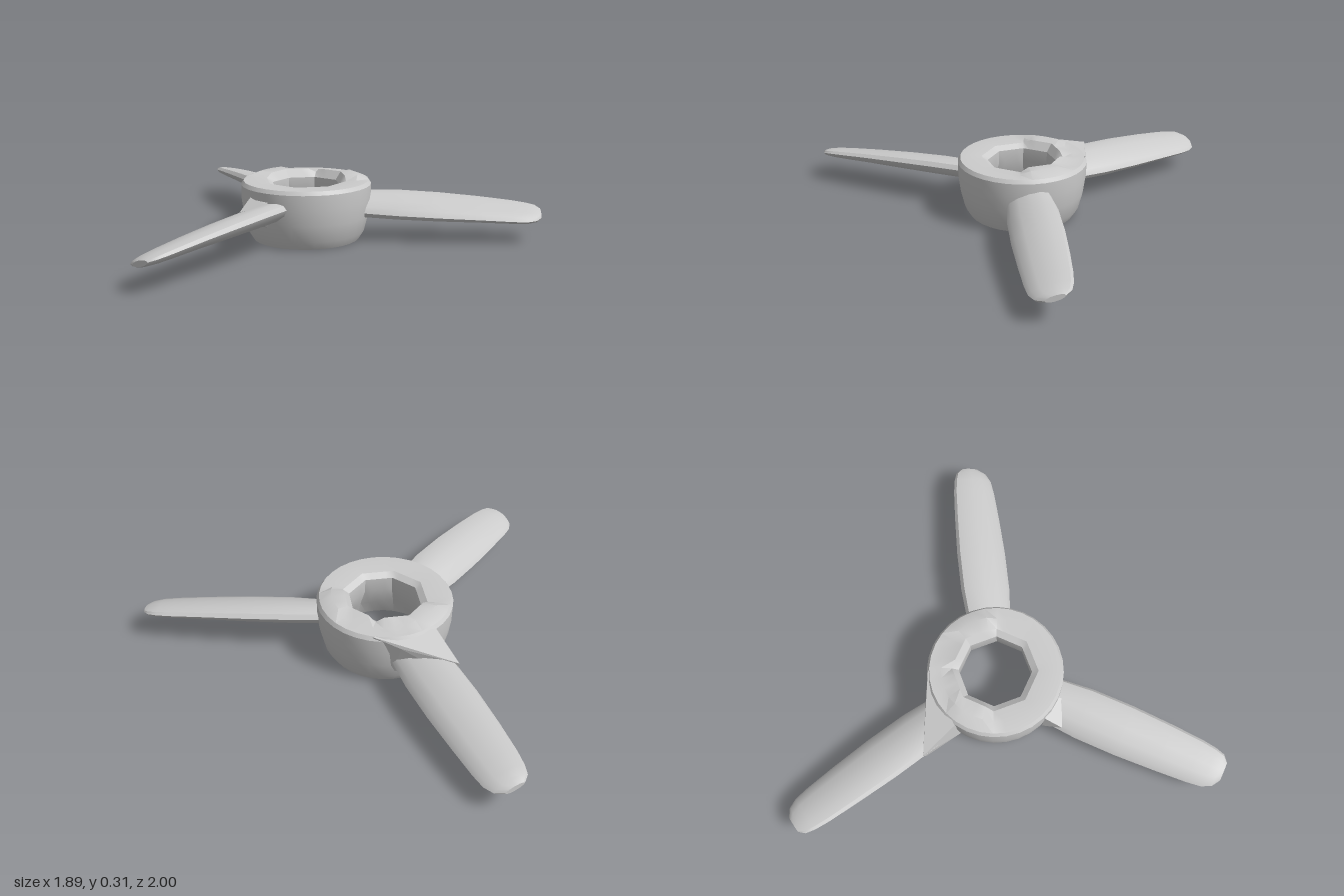
import * as THREE from 'three';
import { toCreasedNormals } from 'three/addons/utils/BufferGeometryUtils.js';
import { ConvexGeometry } from 'three/addons/geometries/ConvexGeometry.js';

const CENTRE = [-0.19, 0, -0.075];
const grey = new THREE.MeshStandardMaterial({ color: 0xcccccc });

// Hollow bowl-shaped hub with an eight-sided bore
function hubGeometry() {
  const profile = [
    [0.24, 0.01], [0.26, 0], [0.285, 0.04], [0.305, 0.12], [0.316, 0.2], [0.317, 0.27], [0.305, 0.288],
    [0.25, 0.29], [0.2, 0.285], [0.17, 0.265], [0.17, 0.2], [0.21, 0.1], [0.24, 0.01],
  ].map(([r, y]) => new THREE.Vector2(r, y));
  const geo = new THREE.LatheGeometry(profile, 32);
  const pos = geo.attributes.position;
  const step = Math.PI / 4;
  for (let i = 0; i < pos.count; i++) {
    const x = pos.getX(i), y = pos.getY(i), z = pos.getZ(i);
    const r = Math.hypot(x, z);
    // square the bore off into eight flat walls
    if (r < 0.22) {
      const a = Math.atan2(x, z);
      const off = a - Math.round((a - step / 2) / step) * step - step / 2;
      const k = Math.cos(step / 2) / Math.cos(off);
      pos.setXYZ(i, x * k, y, z * k);
    }
    // slightly raised band across the rear of the top
    if (r > 0.18 && r < 0.27 && y > 0.27 && z < -0.03 && z > -0.2) pos.setY(i, y + 0.02);
  }
  return toCreasedNormals(geo, 0.5);
}

// Pitched blade along +x, lofted through elliptical sections
function bladeGeometry() {
  // distance out, half width, half thickness, centre height, sideways shift
  const sections = [
    [0.25, 0.1, 0.05, 0.172, 0], [0.45, 0.117, 0.05, 0.168, 0], [0.65, 0.118, 0.045, 0.16, 0],
    [0.85, 0.11, 0.037, 0.15, 0], [1.0, 0.101, 0.031, 0.14, 0], [1.07, 0.092, 0.027, 0.135, 0],
    [1.115, 0.075, 0.022, 0.133, 0.004], [1.14, 0.043, 0.014, 0.132, 0.008],
  ];
  const n = 12, verts = [], index = [];
  for (const [u, w, h, y, s] of sections) {
    for (let j = 0; j < n; j++) {
      const t = (j / n) * Math.PI * 2;
      const c = Math.cos(t) * w;
      verts.push(u, y + Math.sin(t) * h + c * 0.27, -c - s);
    }
  }
  for (let i = 0; i < sections.length - 1; i++) {
    for (let j = 0; j < n; j++) {
      const a = i * n + j, b = i * n + ((j + 1) % n);
      index.push(a, b, a + n, b, b + n, a + n);
    }
  }
  // end caps
  const last = (sections.length - 1) * n;
  for (let j = 1; j < n - 1; j++) {
    index.push(last, last + j, last + j + 1);
    index.push(0, j + 1, j);
  }
  const geo = new THREE.BufferGeometry();
  geo.setAttribute('position', new THREE.Float32BufferAttribute(verts, 3));
  geo.setIndex(index);
  return toCreasedNormals(geo, 0.6);
}

// Faceted block from corner points
function wedge(name, corners) {
  const mesh = new THREE.Mesh(new ConvexGeometry(corners.map((p) => new THREE.Vector3(...p))), grey);
  mesh.name = name;
  return mesh;
}

export function createModel() {
  const group = new THREE.Group();
  group.name = 'propeller';

  const hub = new THREE.Mesh(hubGeometry(), grey);
  hub.name = 'hub';
  hub.position.set(...CENTRE);
  group.add(hub);

  // Three blades, evenly spaced
  const blade = bladeGeometry();
  ['rightBlade', 'rearBlade', 'frontBlade'].forEach((name, i) => {
    const mesh = new THREE.Mesh(blade, grey);
    mesh.name = name;
    mesh.position.set(...CENTRE);
    mesh.rotation.y = THREE.MathUtils.degToRad(8.3 + i * 120);
    group.add(mesh);
  });

  // Sloping shoulder joining the rear blade to the hub
  group.add(wedge('rearShoulder', [
    [-0.46, 0.28, -0.25], [-0.2, 0.288, -0.385], [-0.33, 0.25, -0.39], [-0.59, 0.22, -0.39],
    [-0.57, 0.13, -0.385], [-0.3, 0.09, -0.36], [-0.44, 0.1, -0.22],
  ]));

  // Small fillet where the front blade leaves the hub
  group.add(wedge('frontShoulder', [
    [-0.4, 0.24, 0.15], [-0.43, 0.18, 0.24], [-0.3, 0.22, 0.24], [-0.3, 0.25, 0.18],
    [-0.4, 0.1, 0.15], [-0.3, 0.1, 0.2],
  ]));

  return group;
}
